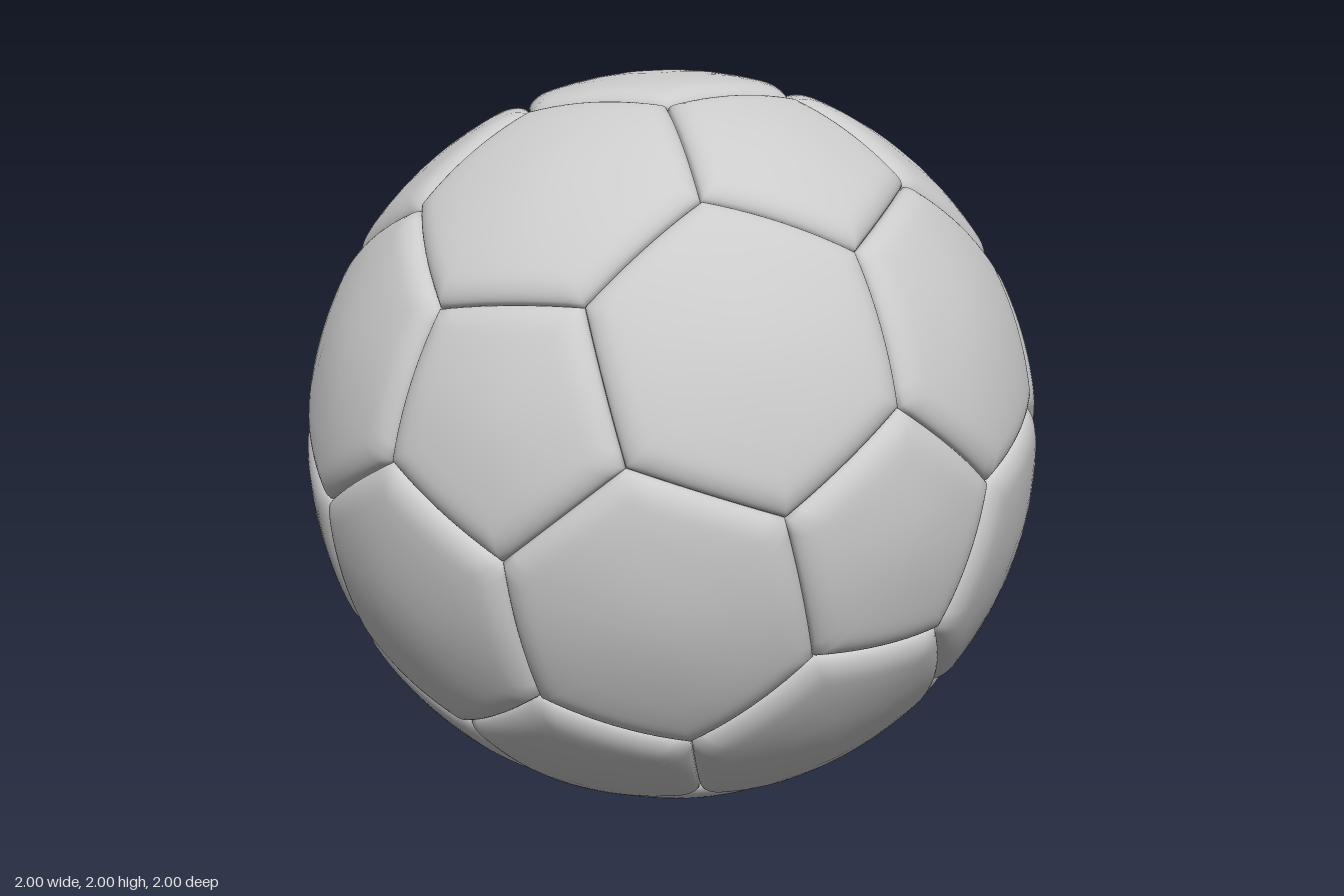
import * as THREE from 'three';

const DEPTH = 0.036;      // seam depth below the unit sphere
const BEVEL = 0.075;      // width of the rounded panel border
const EDGE_STEPS = 10;
// ring positions from panel centre (0) to seam (1), denser at the border
const RINGS = [0.2, 0.4, 0.6, 0.7, 0.77, 0.82, 0.86, 0.89, 0.92, 0.945, 0.965, 0.98, 0.992, 1];

// Twelve icosahedron directions, tilted to the ball's resting orientation
function icosaAxes() {
  const pole = new THREE.Vector3(0.331, 0.867, 0.373).normalize();
  const u = new THREE.Vector3(1.185, -1.103, 1.554);
  u.addScaledVector(pole, -u.dot(pole)).normalize();
  const v = new THREE.Vector3().crossVectors(pole, u);
  const axes = [pole];
  for (let i = 0; i < 5; i++) {
    const a = i * Math.PI * 2 / 5;
    axes.push(new THREE.Vector3()
      .addScaledVector(pole, 1 / Math.sqrt(5))
      .addScaledVector(u, 2 / Math.sqrt(5) * Math.cos(a))
      .addScaledVector(v, 2 / Math.sqrt(5) * Math.sin(a)));
  }
  return axes.concat(axes.map((p) => p.clone().negate()));
}

// Order corners counter-clockwise as seen from outside
function sortAround(center, corners) {
  const u = corners[0].clone().addScaledVector(center, -corners[0].dot(center)).normalize();
  const v = new THREE.Vector3().crossVectors(center, u);
  const angle = (p) => Math.atan2(p.dot(v), p.dot(u));
  return corners.slice().sort((a, b) => angle(a) - angle(b));
}

// One padded panel: rings from the centre out to the seam, sunk at the border
function panelGeometry(center, unsorted) {
  const corners = sortAround(center, unsorted);
  const n = corners.length;
  const normals = corners.map((c, i) =>
    new THREE.Vector3().crossVectors(c, corners[(i + 1) % n]).normalize());

  const rim = [];
  corners.forEach((c, i) => {
    for (let k = 0; k < EDGE_STEPS; k++) {
      rim.push(c.clone().lerp(corners[(i + 1) % n], k / EDGE_STEPS).normalize());
    }
  });

  const positions = [];
  const addPoint = (dir) => {
    const d = Math.max(0, Math.min(...normals.map((m) => m.dot(dir))));
    const t = 1 - Math.min(d / BEVEL, 1);
    const r = 1 - DEPTH * (1 - Math.sqrt(Math.max(0, 1 - t * t)));
    positions.push(dir.x * r, dir.y * r, dir.z * r);
  };

  const count = rim.length;
  const index = [];
  addPoint(center);
  RINGS.forEach((s, ring) => {
    rim.forEach((p) => addPoint(center.clone().lerp(p, s).normalize()));
    const outer = 1 + ring * count;
    const inner = outer - count;
    for (let i = 0; i < count; i++) {
      const j = (i + 1) % count;
      if (ring === 0) index.push(0, outer + i, outer + j);
      else index.push(inner + i, outer + i, outer + j, inner + i, outer + j, inner + j);
    }
  });

  const geometry = new THREE.BufferGeometry();
  geometry.setAttribute('position', new THREE.Float32BufferAttribute(positions, 3));
  geometry.setIndex(index);
  geometry.computeVertexNormals();
  return geometry;
}

export function createModel() {
  const ball = new THREE.Group();
  ball.name = 'ball';
  const material = new THREE.MeshStandardMaterial({ color: 0xcccccc });
  const axes = icosaAxes();
  const adjacent = (a, b) => a !== b && a.dot(b) > 0.3;
  // panel corner one third of the way from a to b
  const corner = (a, b) => a.clone().multiplyScalar(2).add(b).normalize();

  const addPanel = (name, center, corners) => {
    const mesh = new THREE.Mesh(panelGeometry(center, corners), material);
    mesh.name = name;
    ball.add(mesh);
  };

  // Twelve pentagons, one per axis
  axes.forEach((a) => {
    addPanel('pentagonPanel', a, axes.filter((b) => adjacent(a, b)).map((b) => corner(a, b)));
  });

  // Twenty hexagons, one per trio of neighbouring axes
  axes.forEach((a, i) => axes.forEach((b, j) => axes.forEach((c, k) => {
    if (i < j && j < k && adjacent(a, b) && adjacent(b, c) && adjacent(a, c)) {
      const center = a.clone().add(b).add(c).normalize();
      addPanel('hexagonPanel', center, [
        corner(a, b), corner(b, a), corner(b, c), corner(c, b), corner(c, a), corner(a, c),
      ]);
    }
  })));

  ball.position.y = 1;
  const model = new THREE.Group();
  model.name = 'panelledBall';
  model.add(ball);
  return model;
}
